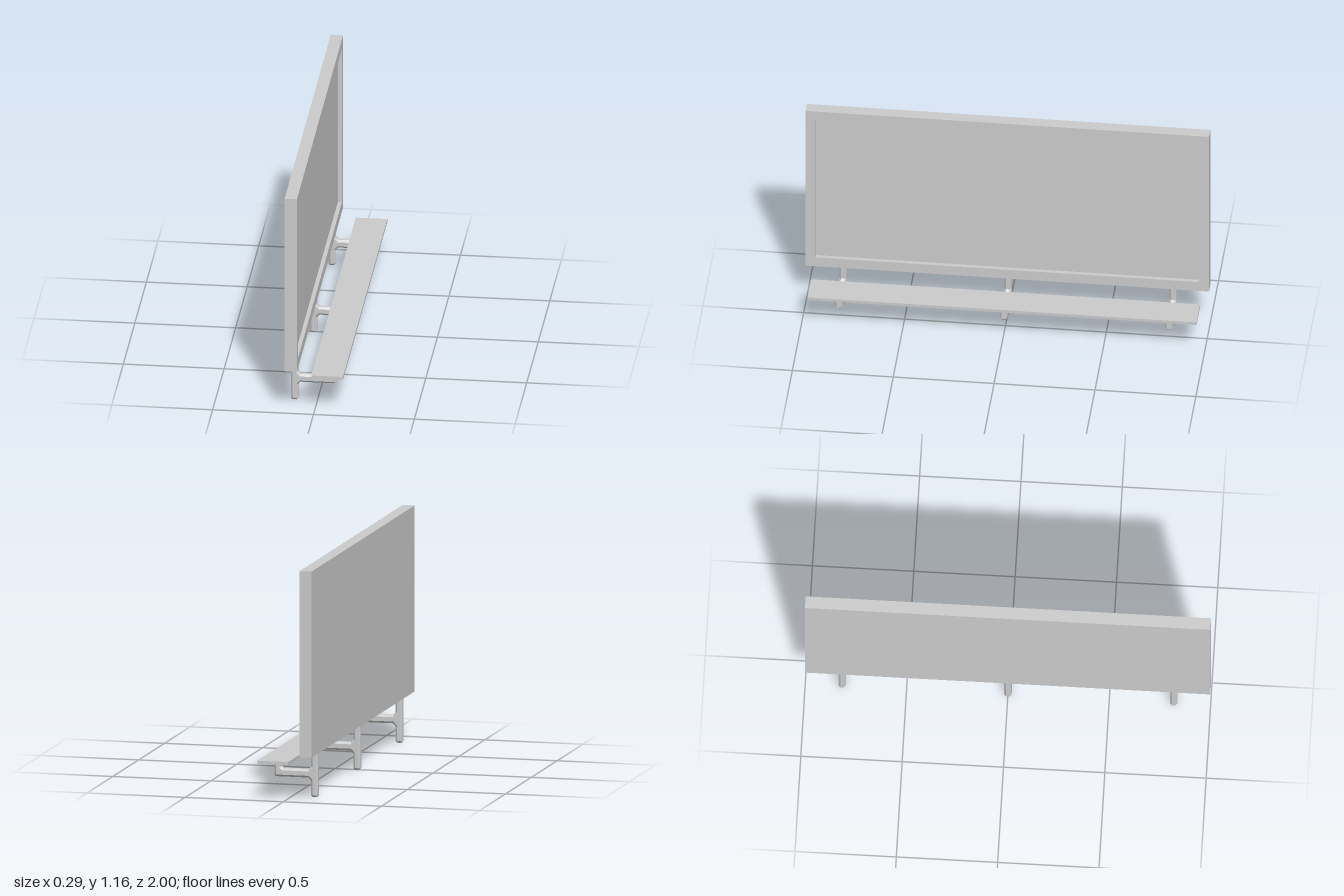
import * as THREE from 'three';

const material = new THREE.MeshStandardMaterial({ color: 0xcccccc, flatShading: true });

function addMesh(parent, name, geometry, x = 0, y = 0, z = 0) {
  const mesh = new THREE.Mesh(geometry, material);
  mesh.name = name;
  mesh.position.set(x, y, z);
  parent.add(mesh);
  return mesh;
}

// Branching bracket: post, arm and short upright, chamfered all round
function bracketGeometry() {
  const outline = [
    [-0.125, 0], [-0.104, 0], [-0.096, 0.008], [-0.096, 0.082], [-0.083, 0.096],
    [0.084, 0.096], [0.091, 0.103], [0.091, 0.170], [0.084, 0.178], [0.061, 0.178],
    [0.054, 0.170], [0.054, 0.147], [0.045, 0.138], [-0.083, 0.138], [-0.096, 0.152],
    [-0.096, 0.23], [-0.132, 0.23], [-0.132, 0.008],
  ];
  const shape = new THREE.Shape(outline.map(([x, y]) => new THREE.Vector2(x, y)));
  const width = 0.037, bevel = 0.01;
  const geometry = new THREE.ExtrudeGeometry(shape, {
    depth: width - 2 * bevel,
    bevelEnabled: true, bevelThickness: bevel, bevelSize: bevel,
    bevelOffset: -bevel, bevelSegments: 1,
  });
  return geometry.translate(0, 0, bevel - width / 2);
}

// Rectangular border with an opening, extruded towards +x
function frameGeometry(depth) {
  const rect = (path, z, bottom, top) => path
    .moveTo(-z, bottom).lineTo(z, bottom).lineTo(z, top).lineTo(-z, top).closePath();
  const shape = rect(new THREE.Shape(), 1, 0.226, 1.156);
  shape.holes.push(rect(new THREE.Path(), 0.95, 0.279, 1.104));
  return new THREE.ExtrudeGeometry(shape, { depth, bevelEnabled: false })
    .rotateY(Math.PI / 2);
}

export function createModel() {
  const model = new THREE.Group();
  model.name = 'displayBoard';

  // Board: raised frame around a recessed panel
  const board = new THREE.Group();
  board.name = 'board';
  model.add(board);
  const back = -0.143, front = -0.082, recess = 0.02;
  addMesh(board, 'frame', frameGeometry(front - back), back);
  const panelDepth = front - back - recess;
  addMesh(board, 'panel', new THREE.BoxGeometry(panelDepth, 0.825, 1.9),
    back + panelDepth / 2, 0.6915, 0);

  // Walkway shelf in front of the board
  addMesh(model, 'shelf', new THREE.BoxGeometry(0.157, 0.015, 1.926), 0.0635, 0.1855, 0);

  // Three supporting brackets
  const bracket = bracketGeometry();
  for (const z of [-0.818, 0, 0.818]) addMesh(model, 'supportBracket', bracket, 0, 0, z);

  return model;
}
